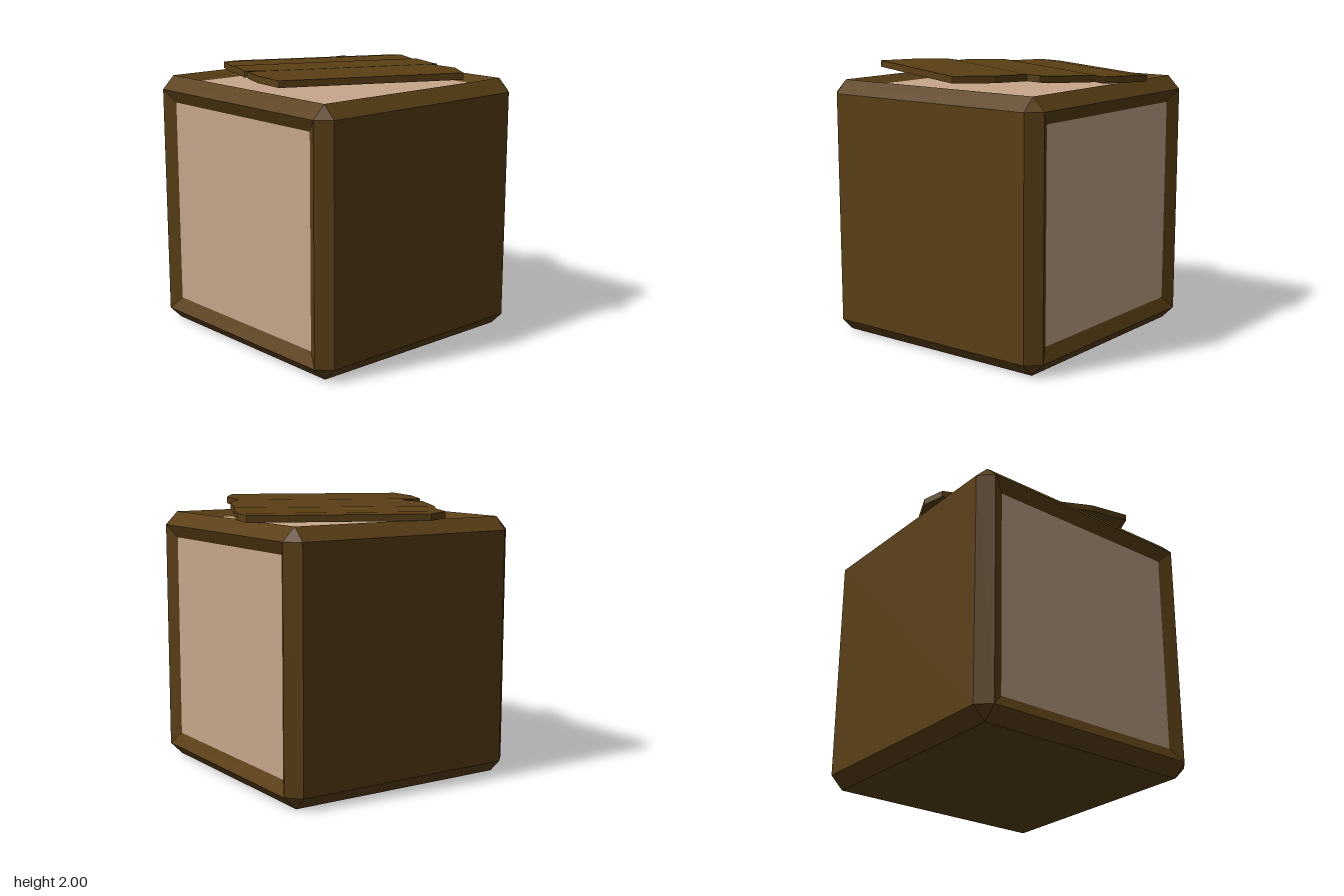
import * as THREE from 'three';

const HALF = 0.945;   // crate half size
const FLAT = 0.85;    // half size of each face inside the chamfer
const PANEL = 0.757;  // half size of the recessed panels
const DEPTH = 0.05;   // recess depth

const wood = new THREE.MeshStandardMaterial({ color: 0x5a3f15, flatShading: true });
const pale = new THREE.MeshStandardMaterial({ color: 0xc6a78b, flatShading: true });

// Collects convex polygons, turning each one to face the given direction
function makeSurface() {
  const positions = [];
  return {
    add(points, outward) {
      const p = points.map((q) => new THREE.Vector3(...q));
      const normal = p[1].clone().sub(p[0]).cross(p[2].clone().sub(p[0]));
      if (normal.dot(new THREE.Vector3(...outward)) < 0) p.reverse();
      for (let i = 1; i < p.length - 1; i++) {
        for (const v of [p[0], p[i], p[i + 1]]) positions.push(v.x, v.y, v.z);
      }
    },
    mesh(name, material) {
      const geometry = new THREE.BufferGeometry();
      geometry.setAttribute('position', new THREE.Float32BufferAttribute(positions, 3));
      geometry.computeVertexNormals();
      const mesh = new THREE.Mesh(geometry, material);
      mesh.name = name;
      return mesh;
    },
  };
}

// A point given by its value along one axis and the two axes after it
function onAxis(axis, a, b, c) {
  const p = [0, 0, 0];
  p[axis] = a;
  p[(axis + 1) % 3] = b;
  p[(axis + 2) % 3] = c;
  return p;
}

const CORNERS = [[-1, -1], [1, -1], [1, 1], [-1, 1]];
const square = (axis, level, half) => CORNERS.map(([b, c]) => onAxis(axis, level, b * half, c * half));

function createCrate() {
  const crate = new THREE.Group();
  crate.name = 'crate';
  const shell = makeSurface();
  const recessed = { '1,1': 'topPanel', '2,1': 'frontPanel', '2,-1': 'backPanel' };

  for (let axis = 0; axis < 3; axis++) {
    // Six faces: plain boards, or sloped frames around a recessed panel
    for (const side of [-1, 1]) {
      const outward = onAxis(axis, side, 0, 0);
      const rim = square(axis, side * HALF, FLAT);
      const name = recessed[`${axis},${side}`];
      if (!name) {
        shell.add(rim, outward);
        continue;
      }
      const inner = square(axis, side * (HALF - DEPTH), PANEL);
      for (let i = 0; i < 4; i++) {
        const j = (i + 1) % 4;
        shell.add([rim[i], rim[j], inner[j], inner[i]], outward);
      }
      const panel = makeSurface();
      panel.add(inner, outward);
      crate.add(panel.mesh(name, pale));
    }
    // Four chamfered edges along this axis
    for (const [b, c] of CORNERS) {
      shell.add([
        onAxis(axis, -FLAT, b * HALF, c * FLAT), onAxis(axis, FLAT, b * HALF, c * FLAT),
        onAxis(axis, FLAT, b * FLAT, c * HALF), onAxis(axis, -FLAT, b * FLAT, c * HALF),
      ], onAxis(axis, 0, b, c));
    }
  }
  // Eight corner triangles
  for (const x of [-1, 1]) for (const y of [-1, 1]) for (const z of [-1, 1]) {
    shell.add([
      [x * HALF, y * FLAT, z * FLAT], [x * FLAT, y * HALF, z * FLAT], [x * FLAT, y * FLAT, z * HALF],
    ], [x, y, z]);
  }
  crate.add(shell.mesh('frame', wood));
  crate.position.set(-0.03, 0.948, 0);
  return crate;
}

// Loose lid of joined planks, as cross-sections: across, front end, back end, top height
function createLid() {
  const rows = [
    [-0.780, 0.589, -0.675, 1.938], [-0.672, 0.714, -0.731, 1.947],
    [-0.390, 0.709, -0.733, 1.948], [-0.325, 0.713, -0.728, 1.962],
    [0.053, 0.710, -0.732, 1.973], [0.118, 0.551, -0.729, 1.980],
    [0.180, 0.715, -0.658, 1.986], [0.462, 0.708, -0.737, 1.994],
    [0.751, 0.630, -0.681, 2.0],
  ];
  const thickness = 0.048;
  const sections = rows.map(([x, front, back, y]) => ({
    topFront: [x, y, front], topBack: [x, y, back],
    lowFront: [x, y - thickness, front], lowBack: [x, y - thickness, back],
  }));
  const lid = makeSurface();
  for (let i = 0; i < sections.length - 1; i++) {
    const a = sections[i], b = sections[i + 1];
    lid.add([a.topFront, b.topFront, b.topBack, a.topBack], [0, 1, 0]);
    lid.add([a.lowFront, b.lowFront, b.lowBack, a.lowBack], [0, -1, 0]);
    lid.add([a.topFront, b.topFront, b.lowFront, a.lowFront], [0, 0, 1]);
    lid.add([a.topBack, b.topBack, b.lowBack, a.lowBack], [0, 0, -1]);
  }
  const first = sections[0], last = sections[sections.length - 1];
  lid.add([first.topFront, first.topBack, first.lowBack, first.lowFront], [-1, 0, 0]);
  lid.add([last.topFront, last.topBack, last.lowBack, last.lowFront], [1, 0, 0]);
  const mesh = lid.mesh('lid', wood);
  mesh.rotation.y = -0.441;
  return mesh;
}

export function createModel() {
  const model = new THREE.Group();
  model.name = 'crateWithLooseLid';
  model.add(createCrate(), createLid());
  return model;
}
